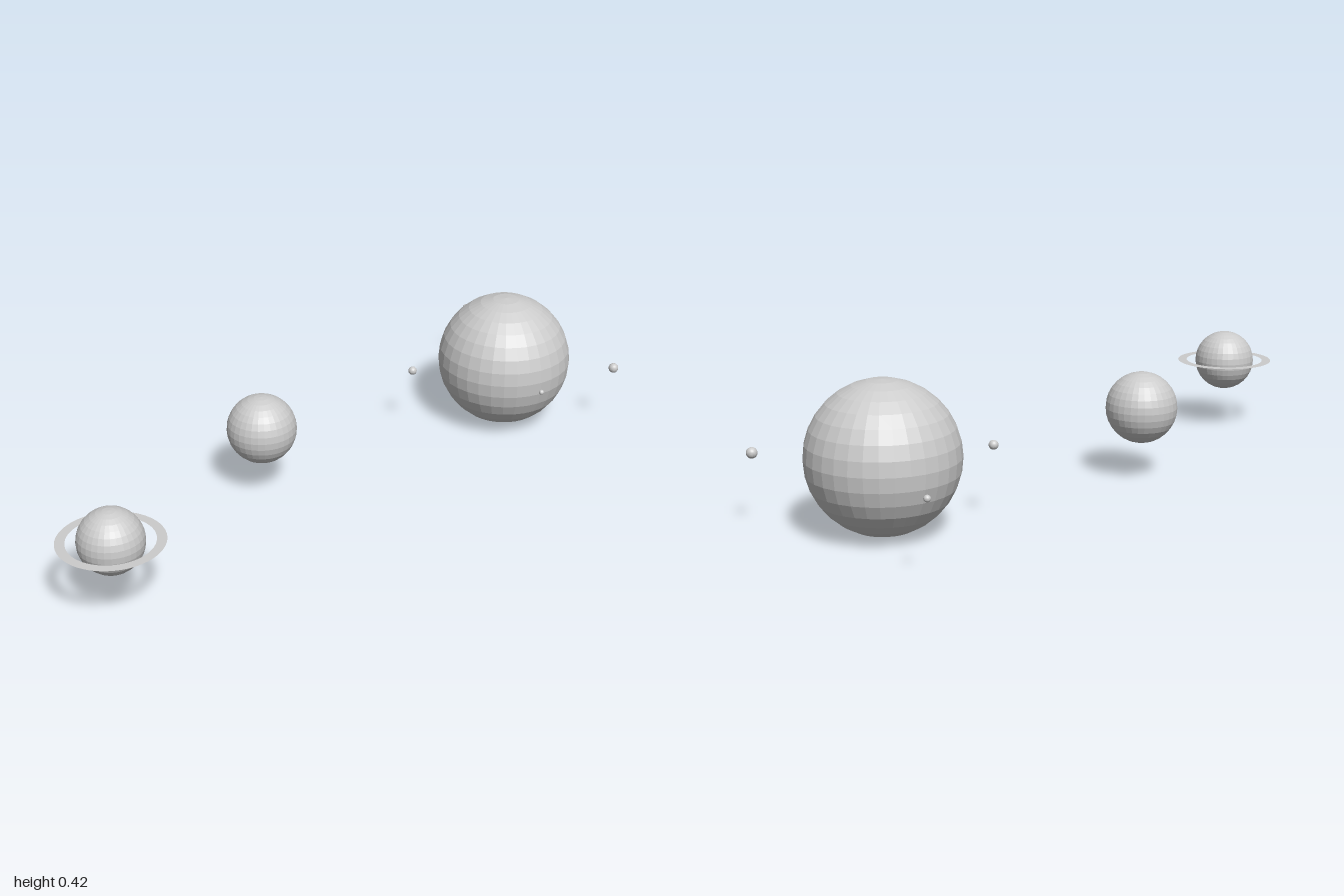
import * as THREE from 'three';

const LEVEL = 0.2145; // shared height of the orbital plane

export function createModel() {
  const model = new THREE.Group();
  const rock = new THREE.MeshStandardMaterial({ color: 0xcccccc, flatShading: true });
  const ringMaterial = new THREE.MeshStandardMaterial({ color: 0xcccccc, side: THREE.DoubleSide });

  function addBody(name, radius, x, z, parent = model) {
    const body = new THREE.Mesh(new THREE.SphereGeometry(radius, 32, 16), rock);
    body.name = name;
    body.position.set(x, LEVEL, z);
    parent.add(body);
    return body;
  }

  // Giant planet with four moons: radius, x, z
  addBody('giantPlanet', 0.212, 0.04, -0.736);
  const moons = new THREE.Group();
  moons.name = 'moons';
  model.add(moons);
  [
    [0.0155, 0.363, -0.886],
    [0.008, 0.27, -0.6],
    [0.0135, -0.14, -0.479],
    [0.0095, -0.281, -0.99],
  ].forEach(([r, x, z], i) => addBody(`moon${i + 1}`, r, x, z, moons));

  // Plain middle planet
  addBody('middlePlanet', 0.106, -0.275, 0.112);

  // Ringed planet with its flat ring
  const ringed = addBody('ringedPlanet', 0.095, -0.189, 0.847);
  const ring = new THREE.Mesh(new THREE.RingGeometry(0.124, 0.152, 64), ringMaterial);
  ring.name = 'planetRing';
  ring.rotation.x = -Math.PI / 2;
  ringed.add(ring);

  return model;
}
